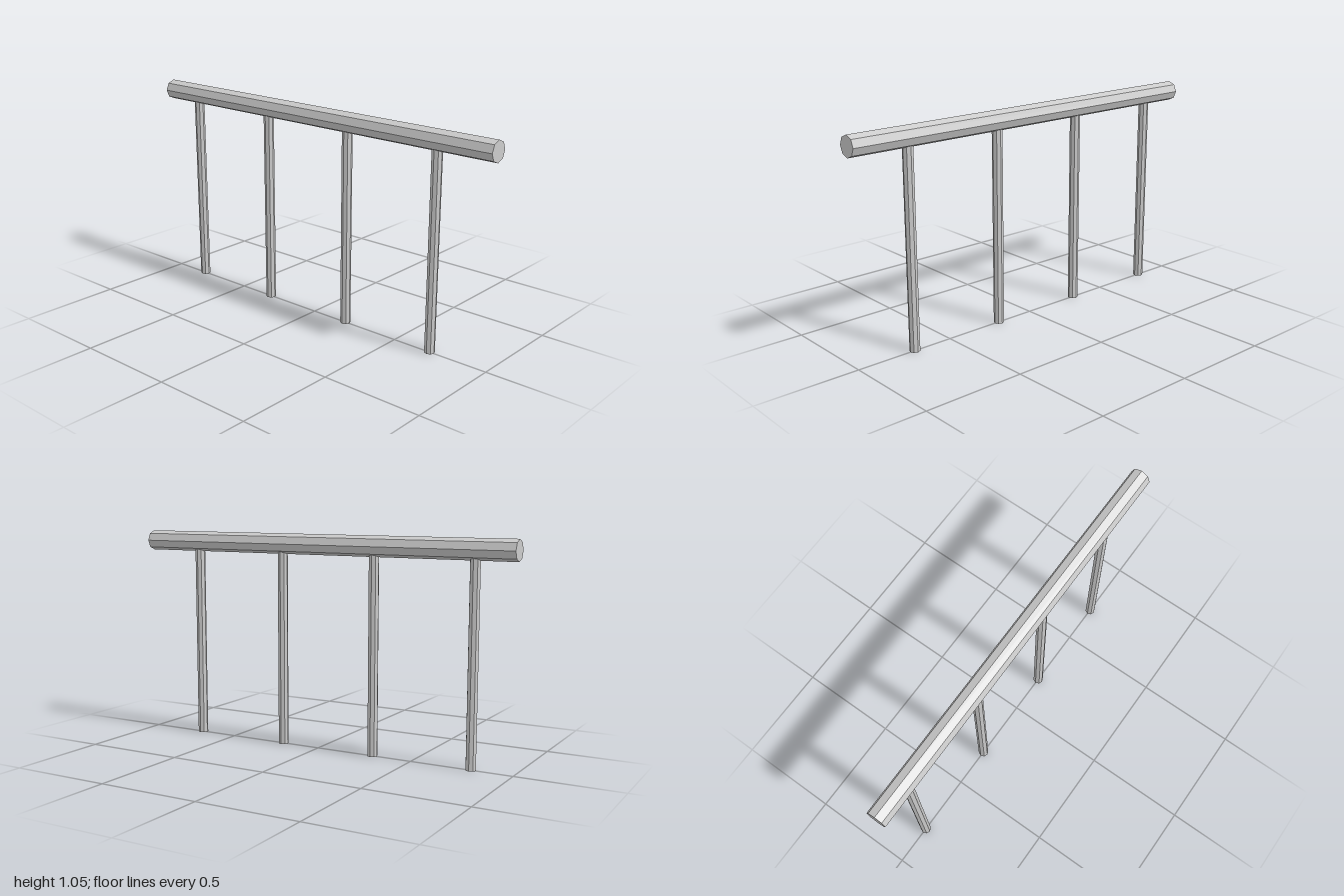
import * as THREE from 'three';

export function createModel() {
  const model = new THREE.Group();
  model.name = 'railing';
  const material = new THREE.MeshStandardMaterial({ color: 0xcccccc, flatShading: true });

  // Octagonal handrail running front to back
  const railGeometry = new THREE.CylinderGeometry(0.05, 0.05, 2, 8).rotateX(Math.PI / 2);
  const rail = new THREE.Mesh(railGeometry, material);
  rail.name = 'handrail';
  rail.position.y = 1;
  model.add(rail);

  // Evenly spaced posts, their tops sunk into the rail
  const postHeight = 1;
  const postGeometry = new THREE.CylinderGeometry(0.025, 0.025, postHeight, 8);
  for (let i = 0; i < 4; i++) {
    const post = new THREE.Mesh(postGeometry, material);
    post.name = `post${i + 1}`;
    post.position.set(0, postHeight / 2, 0.7 - i * 0.5);
    model.add(post);
  }

  return model;
}
